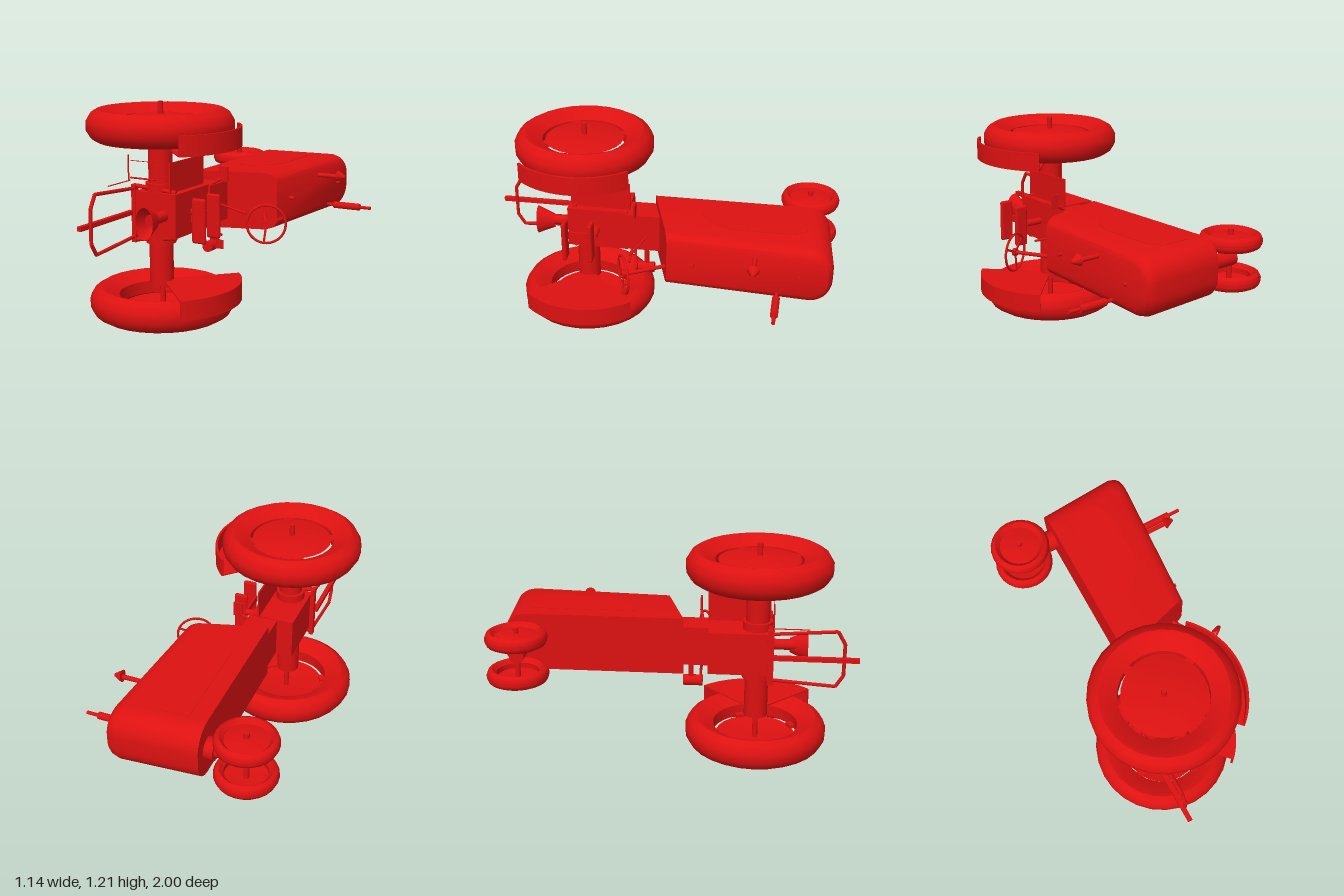
import * as THREE from 'three';
import { toCreasedNormals } from 'three/addons/utils/BufferGeometryUtils.js';
import { RoundedBoxGeometry } from 'three/addons/geometries/RoundedBoxGeometry.js';

// A tractor lying on its side: its top faces +x, its nose -z, its axles run along y.
const MID = 0.613, WHEEL_MID = 0.608;
const AX = -0.18, AZ = 0.455;

export function createModel() {
  const root = new THREE.Group();
  const red = new THREE.MeshStandardMaterial({ color: 0xdd1111 });
  red.name = 'red paint';
  red.side = THREE.DoubleSide;

  const add = (name, geo, x = 0, y = 0, z = 0) => {
    const m = new THREE.Mesh(geo, red);
    m.name = name;
    m.position.set(x, y, z);
    root.add(m);
    return m;
  };
  const creased = (g, a = 0.6) => toCreasedNormals(g, a);
  // box from min and max on each axis
  const box = (name, x0, x1, y0, y1, z0, z1) =>
    add(name, new THREE.BoxGeometry(x1 - x0, y1 - y0, z1 - z0), (x0 + x1) / 2, (y0 + y1) / 2, (z0 + z1) / 2);
  // round bar between two points, with radius at each end
  const rod = (name, a, b, r, r2 = r, sides = 12) => {
    const A = new THREE.Vector3(...a), B = new THREE.Vector3(...b);
    const d = B.clone().sub(A);
    const m = add(name, new THREE.CylinderGeometry(r2, r, d.length(), sides));
    m.position.copy(A).add(B).multiplyScalar(0.5);
    m.quaternion.setFromUnitVectors(new THREE.Vector3(0, 1, 0), d.normalize());
    return m;
  };
  // plate drawn in x and z, with its upper face at yTop
  const slab = (name, shape, yTop, h) => {
    const g = new THREE.ExtrudeGeometry(shape, { depth: h, bevelEnabled: false, curveSegments: 16 });
    g.rotateX(Math.PI / 2);
    return add(name, creased(g), 0, yTop, 0);
  };
  const lathe = (pts, n) => creased(new THREE.LatheGeometry(pts.map(p => new THREE.Vector2(...p)), n), 0.7);

  // Hood: rounded sections stacked from belly to top
  const hoodGeometry = () => {
    const pos = [], idx = [], arc = 8;
    const levels = [[0, 0], [0.86, 0], [0.94, 0.012], [0.98, 0.028], [1, 0.05]];
    const n = 2 * (arc + 1) + 2;
    for (const [t, inset] of levels) {
      const w = 0.163 - inset, zF = -0.95 - 0.037 * t + inset, zB = 0.05 - 0.13 * t, r = 0.125 - inset * 0.5;
      const ring = [[-w, zB]];
      for (const s of [-1, 1]) for (let i = 0; i <= arc; i++) {
        const a = (s < 0 ? i : arc - i) / arc * Math.PI / 2;
        ring.push([s * (w - r + r * Math.cos(a)), zF + r - r * Math.sin(a)]);
      }
      ring.push([w, zB]);
      for (const [y, z] of ring) {
        const top = 0.245 + (-0.08 - z) * 0.075;
        pos.push(-0.195 + (top + 0.195) * t, MID + y, z);
      }
    }
    for (let l = 0; l < levels.length - 1; l++) for (let i = 0; i < n; i++) {
      const j = (i + 1) % n, a = l * n + i, b = l * n + j;
      idx.push(a, b, b + n, a, b + n, a + n);
    }
    const last = (levels.length - 1) * n;
    for (let i = 1; i < n - 1; i++) idx.push(0, i + 1, i, last, last + i, last + i + 1);
    const g = new THREE.BufferGeometry();
    g.setAttribute('position', new THREE.Float32BufferAttribute(pos, 3));
    g.setIndex(idx);
    g.computeVertexNormals();
    return creased(g, 0.5);
  };
  add('hood', hoodGeometry());

  // Side panels on the hood
  const panel = new THREE.Shape();
  panel.moveTo(-0.095, -0.83);
  panel.lineTo(0.07, -0.83);
  panel.quadraticCurveTo(0.13, -0.8, 0.13, -0.7);
  panel.lineTo(0.13, -0.45);
  panel.quadraticCurveTo(0.08, -0.24, -0.095, -0.23);
  panel.closePath();
  slab('sidePanelUpper', panel, MID + 0.165, 0.004);
  slab('sidePanelLower', panel, MID - 0.161, 0.004);

  // Exhaust, intake stack and caps
  rod('exhaustPipe', [0.25, 0.495, -0.69], [0.57, 0.495, -0.69], 0.01);
  rod('muffler', [0.335, 0.495, -0.69], [0.5, 0.495, -0.69], 0.021);
  rod('intakePipe', [0.25, 0.695, -0.565], [0.41, 0.695, -0.565], 0.013);
  rod('intakeCap', [0.405, 0.7, -0.565], [0.452, 0.695, -0.565], 0.034, 0.008);
  rod('radiatorCap', [0.28, MID, -0.805], [0.318, MID, -0.805], 0.01);
  rod('tankCap', [0.24, MID, -0.225], [0.285, MID, -0.225], 0.01);

  // Wheels: tyres with sloping inner walls around slightly domed discs
  const rearTyre = lathe([[0.237, -0.035], [0.315, -0.08], [0.335, -0.085], [0.37, -0.064], [0.393, -0.025],
    [0.393, 0.025], [0.37, 0.064], [0.335, 0.085], [0.315, 0.08], [0.237, 0.035], [0.237, -0.035]], 28);
  const frontTyre = lathe([[0.115, -0.015], [0.138, -0.04], [0.158, -0.03], [0.168, -0.008],
    [0.168, 0.008], [0.158, 0.03], [0.138, 0.04], [0.115, 0.015], [0.115, -0.015]], 24);
  for (const s of [-1, 1]) {
    const side = s > 0 ? 'Upper' : 'Lower', y = WHEEL_MID + s * 0.48;
    add('rearTyre' + side, rearTyre, AX, y, AZ);
    add('rearRim' + side, lathe([[0, 0.056 * s], [0.14, 0.05 * s], [0.222, 0.033 * s]], 28), AX, y, AZ);
    for (let i = 0; i < 4; i++) {
      const a = Math.PI / 4 + i * Math.PI / 2 + 0.35;
      const lug = add('rimLug' + side, new THREE.BoxGeometry(0.04, 0.02, 0.05),
        AX + 0.225 * Math.cos(a), y + 0.022 * s, AZ + 0.225 * Math.sin(a));
      lug.rotation.y = -a;
    }
    const fy = MID + s * 0.105;
    add('frontTyre' + side, frontTyre, -0.405, fy, -0.83);
    add('frontRim' + side, lathe([[0, 0.027 * s], [0.07, 0.022 * s], [0.116, 0.014 * s]], 24), -0.405, fy, -0.83);

    // Axle housing and flange
    rod('axleHousing' + side, [-0.185, MID + s * 0.11, AZ], [-0.185, WHEEL_MID + s * 0.39, AZ], 0.065, 0.065, 20);
    rod('axleFlange' + side, [-0.185, MID + s * 0.115, AZ], [-0.185, MID + s * 0.165, AZ], 0.082, 0.082, 20);

    // Fender: wedge plate inside the wheel and curved cover over the tread
    const wedge = new THREE.Shape();
    wedge.moveTo(AX, AZ);
    wedge.lineTo(AX + 0.433 * Math.cos(0.79), AZ - 0.433 * Math.sin(0.79));
    wedge.absarc(AX, AZ, 0.433, -0.79, 0.79, false);
    wedge.closePath();
    const inner = WHEEL_MID + s * 0.372;
    slab('fenderPlate' + side, wedge, inner + 0.004, 0.008);
    const cover = new THREE.Shape();
    cover.absarc(AX, AZ, 0.433, -0.79, 0.79, false);
    cover.absarc(AX, AZ, 0.42, 0.79, -0.79, true);
    cover.closePath();
    slab('fenderCover' + side, cover, s > 0 ? inner + 0.102 : inner, 0.102);
  }
  rod('rearAxle', [AX, 0, AZ], [AX, 1.21, AZ], 0.015);
  rod('frontAxle', [-0.405, 0.457, -0.83], [-0.405, 0.775, -0.83], 0.015);
  rod('frontPedestal', [-0.425, MID, -0.83], [-0.24, MID, -0.83], 0.04, 0.04, 16);
  rod('pedestalFlange', [-0.245, MID, -0.83], [-0.19, MID, -0.83], 0.06, 0.06, 16);

  // Gearbox and rear end
  box('gearbox', -0.29, -0.04, 0.495, 0.733, 0.19, 0.54);
  box('clutchHousing', -0.195, -0.03, 0.505, 0.725, 0, 0.2);
  box('hitchPlate', -0.315, -0.29, 0.45, 0.767, 0.51, 0.545);
  rod('powerShaft', [-0.115, MID, 0.53], [-0.115, MID, 0.67], 0.03, 0.03);
  const shield = new THREE.CylinderGeometry(0.087, 0.042, 0.1, 16, 1, true).rotateX(Math.PI / 2);
  add('shaftShield', shield, -0.108, MID - 0.005, 0.683).scale.set(0.62, 1, 1);

  // Drawbar frame and tongue
  const frame = [[0.745, 0.54], [0.77, 0.88], [0.7, 0.92], [0.52, 0.92], [0.455, 0.88], [0.48, 0.54]];
  for (let i = 0; i < frame.length - 1; i++) {
    const [y0, z0] = frame[i], [y1, z1] = frame[i + 1];
    rod('drawbarFrame', [-0.305, y0, z0], [-0.305, y1, z1], 0.01, 0.01, 8);
  }
  box('tongue', -0.33, -0.305, MID - 0.012, MID + 0.012, 0.54, 1.0);
  for (const y of [0.49, 0.735]) rod('liftArm', [-0.06, y, 0.5], [-0.29, y + (y > MID ? 0.025 : -0.025), 0.53], 0.012);

  // Thin linkage and step beside the gearbox
  rod('linkRod', [-0.33, 0.785, 0.53], [-0.33, 0.785, 0.73], 0.003, 0.003, 6);
  rod('linkBar', [-0.333, 0.785, 0.54], [-0.333, 0.925, 0.54], 0.004, 0.004, 6);
  rod('linkArm', [-0.32, 0.802, 0.54], [-0.16, 0.802, 0.54], 0.005, 0.005, 6);
  rod('linkArm', [-0.32, 0.895, 0.54], [-0.15, 0.895, 0.54], 0.002, 0.002, 6);
  box('footPlate', -0.089, -0.081, 0.73, 0.895, 0.18, 0.525);

  // Seat: two upright pads on a post
  for (const [name, z] of [['seatBack', 0.525], ['seatPad', 0.375]]) {
    add(name, new RoundedBoxGeometry(0.08, 0.24, 0.026, 3, 0.012), 0.095, 0.605, z);
  }
  rod('seatPost', [-0.06, MID, 0.37], [0.06, MID, 0.37], 0.02);
  box('seatRail', 0.05, 0.062, MID - 0.02, MID + 0.02, 0.37, 0.53);

  // Steering wheel and column
  const wheel = new THREE.Group();
  wheel.name = 'steeringWheel';
  const addToWheel = (name, geo, turn = 0) => {
    const m = new THREE.Mesh(geo, red);
    m.name = name;
    m.rotation.z = turn;
    wheel.add(m);
  };
  addToWheel('wheelRim', new THREE.TorusGeometry(0.106, 0.007, 8, 28));
  addToWheel('wheelBoss', new THREE.CylinderGeometry(0.022, 0.022, 0.02, 12).rotateX(Math.PI / 2));
  for (let i = 0; i < 3; i++) {
    addToWheel('wheelSpoke', new THREE.BoxGeometry(0.106, 0.012, 0.006).translate(0.053, 0, 0), i * Math.PI * 2 / 3 + 0.4);
  }
  wheel.position.set(0.295, 0.537, 0.15);
  wheel.rotation.y = Math.atan2(0.43, 0.9);
  root.add(wheel);
  rod('steeringColumn', [0.17, 0.537, -0.07], [0.295, 0.537, 0.15], 0.011);

  // Pedals, levers and filter bowl
  rod('filterBowl', [-0.078, 0.364, 0.04], [-0.078, 0.364, 0.15], 0.031, 0.031, 16);
  rod('filterPipe', [-0.08, 0.362, 0.085], [-0.08, 0.51, 0.085], 0.014);
  box('pedalLower', -0.03, 0.018, 0.36, 0.41, 0.13, 0.14);
  box('pedalUpper', -0.005, 0.048, 0.745, 0.83, 0.13, 0.14);
  rod('pedalArmLower', [-0.06, 0.51, 0.15], [-0.01, 0.39, 0.135], 0.008);
  rod('pedalArmUpper', [-0.06, 0.72, 0.15], [0.01, 0.76, 0.135], 0.008);
  rod('gearLever', [-0.04, 0.6, 0.07], [0.165, 0.58, 0.14], 0.006, 0.006, 8);
  rod('brakeLever', [-0.1, 0.5, 0.17], [0.03, 0.45, 0.17], 0.007, 0.007, 8);
  return root;
}
